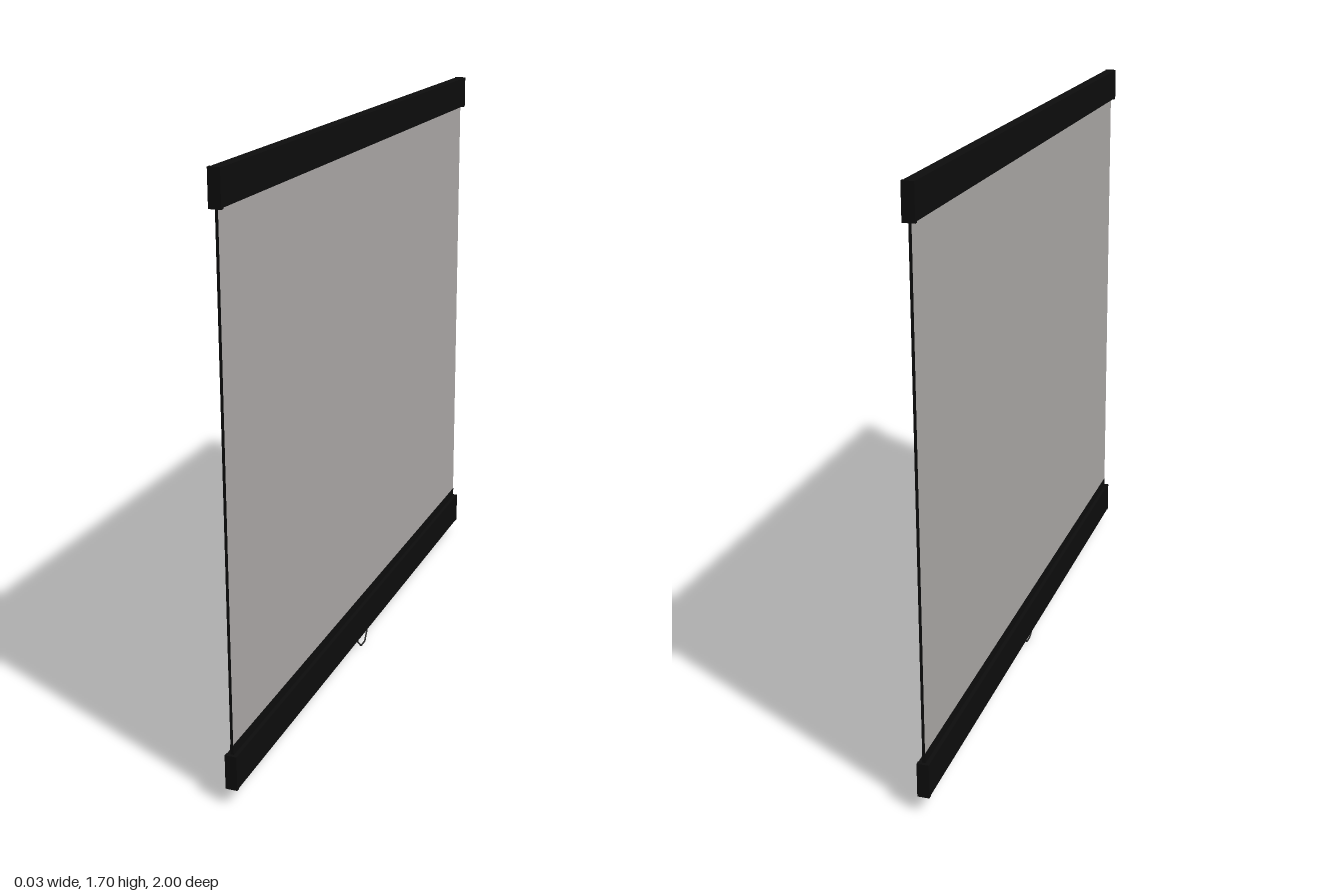
import * as THREE from 'three';

export function createModel() {
  const black = new THREE.MeshStandardMaterial({ color: 0x0d0d0d });
  black.name = 'matte black';
  const grey = new THREE.MeshStandardMaterial({ color: 0xaca9a7 });
  grey.name = 'screen grey';
  const wire = new THREE.MeshStandardMaterial({ color: 0x2a2a2a });
  wire.name = 'wire dark grey';

  const model = new THREE.Group();
  model.name = 'rollUpScreen';

  const addBox = (name, w, y0, y1, depth, material, z = 0) => {
    const mesh = new THREE.Mesh(new THREE.BoxGeometry(w, y1 - y0, depth), material);
    mesh.name = name;
    mesh.position.set(0, (y0 + y1) / 2, z);
    model.add(mesh);
  };

  // Screen sheet: grey on both broad faces, black around the edges
  addBox('screenSheet', 0.008, 0.175, 1.61, 1.98, [grey, grey, black, black, black, black]);

  // Black hem where the sheet enters the lower bar
  addBox('lowerHem', 0.01, 0.14, 0.178, 1.98, black);

  // Casing above and weight bar below, each with a cap at both ends
  addBox('topCasing', 0.032, 1.603, 1.699, 1.98, black);
  addBox('bottomBar', 0.032, 0.051, 0.149, 1.98, black);
  for (const side of [-1, 1]) {
    addBox('topEndCap', 0.034, 1.6, 1.7, 0.012, black, side * 0.994);
    addBox('bottomEndCap', 0.034, 0.05, 0.15, 0.012, black, side * 0.994);
  }

  // Faceted wire pull loop, leaning slightly outward at the bottom
  const loop = new THREE.CurvePath();
  const points = [];
  for (let i = 0; i <= 4; i++) {
    const a = Math.PI / 8 + (i - 1) * Math.PI / 4;
    const y = 0.047 - 0.047 * Math.sin(a);
    points.push(new THREE.Vector3(0.005 - y * 0.09, Math.min(y, 0.055), 0.046 * Math.cos(a)));
  }
  points.push(new THREE.Vector3(0, 0.055, -0.042));
  for (let i = 0; i < points.length - 1; i++) {
    loop.add(new THREE.LineCurve3(points[i], points[i + 1]));
  }
  const pull = new THREE.Mesh(new THREE.TubeGeometry(loop, 40, 0.0025, 6, false), wire);
  pull.name = 'pullLoop';
  model.add(pull);

  return model;
}
